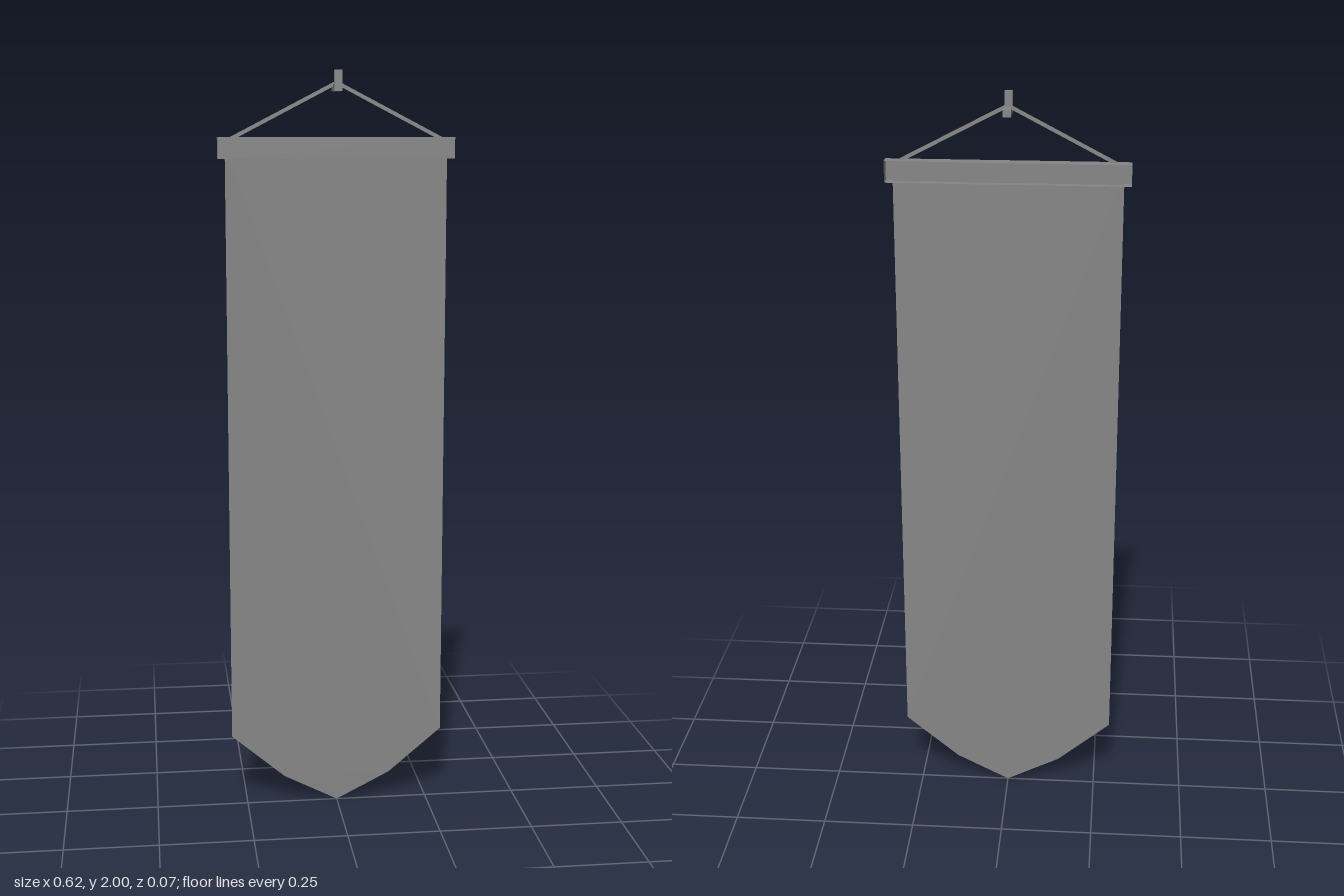
import * as THREE from 'three';

const material = new THREE.MeshStandardMaterial({ color: 0x868686, flatShading: true, side: THREE.DoubleSide });

function add(parent, name, geometry, x = 0, y = 0, z = 0) {
  const mesh = new THREE.Mesh(geometry, material);
  mesh.name = name;
  mesh.position.set(x, y, z);
  parent.add(mesh);
  return mesh;
}

// Flat sheet in the xy plane
function sheet(points) {
  return new THREE.ShapeGeometry(new THREE.Shape(points.map(([x, y]) => new THREE.Vector2(x, y))));
}

export function createModel() {
  const model = new THREE.Group();
  model.name = 'hangingBanner';

  // Cloth with a pointed lower edge
  add(model, 'cloth', sheet([
    [-0.292, 1.806], [-0.292, 0.197], [-0.146, 0.074], [0, 0],
    [0.146, 0.074], [0.292, 0.197], [0.292, 1.806],
  ]));

  // Crossbar: thin channel, open towards the back
  const bar = new THREE.Group();
  bar.name = 'crossbar';
  bar.position.set(0, 1.802, -0.004);
  model.add(bar);
  const width = 0.622, height = 0.055, depth = 0.032;
  add(bar, 'barFront', new THREE.PlaneGeometry(width, height), 0, 0, depth / 2);
  for (const side of [-1, 1]) {
    add(bar, side > 0 ? 'barTop' : 'barBottom', new THREE.PlaneGeometry(width, depth), 0, side * height / 2)
      .rotation.x = -side * Math.PI / 2;
    add(bar, side > 0 ? 'leftBarEnd' : 'rightBarEnd', new THREE.PlaneGeometry(depth, height), side * width / 2)
      .rotation.y = side * Math.PI / 2;
  }

  // Flat cords rising from the bar to the hook
  for (const side of [-1, 1]) {
    add(model, side > 0 ? 'leftCord' : 'rightCord', sheet([
      [0, 1.974], [0, 1.963], [side * 0.28, 1.818], [side * 0.292, 1.823],
    ]));
  }

  // L-shaped wall hook: peg with an upturned front
  const hook = new THREE.Group();
  hook.name = 'hook';
  model.add(hook);
  add(hook, 'hookPeg', new THREE.BoxGeometry(0.02, 0.018, 0.056), 0, 1.955, -0.009);
  add(hook, 'hookTip', new THREE.BoxGeometry(0.02, 0.054, 0.017), 0, 1.973, 0.0275);

  return model;
}
